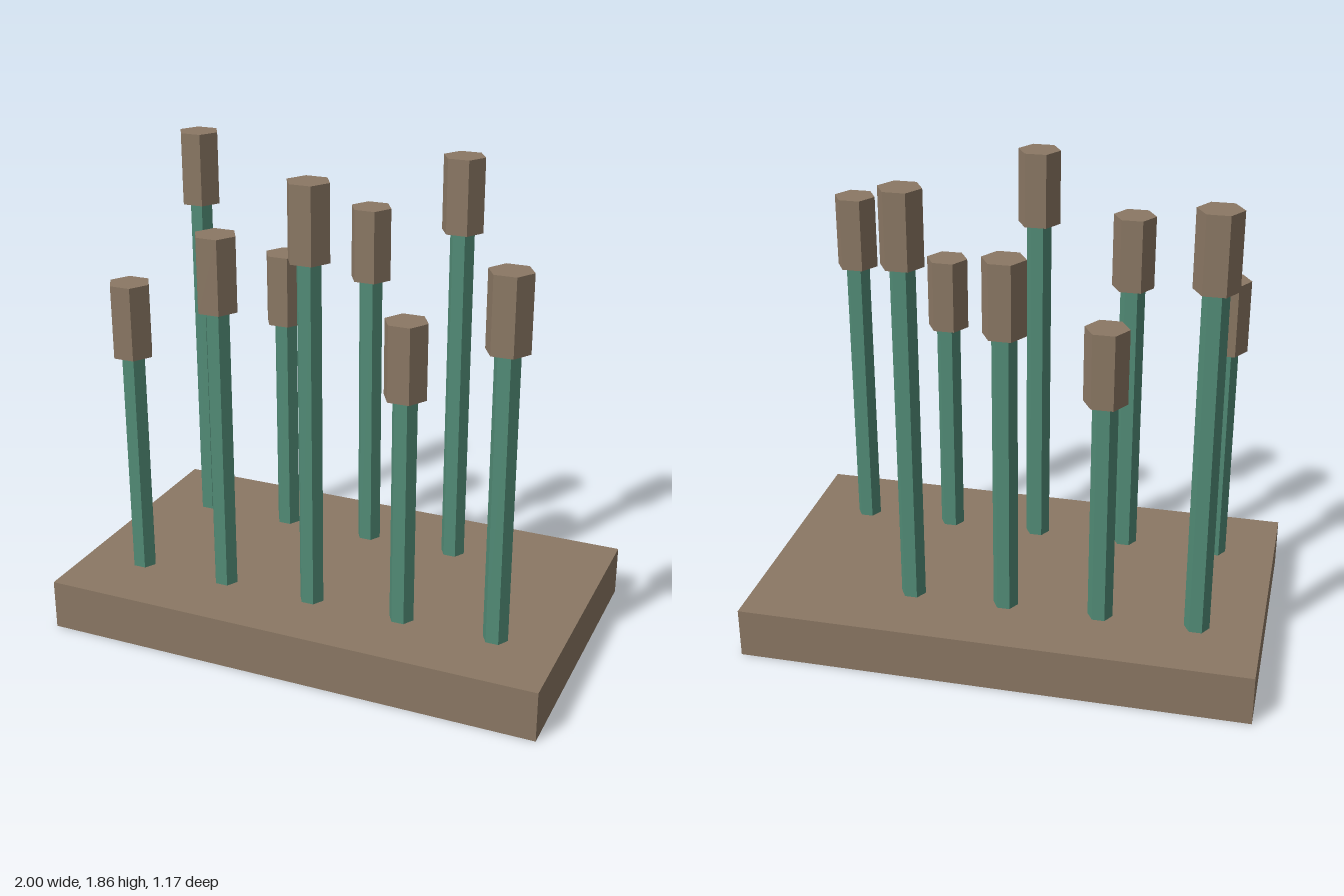
import * as THREE from 'three';

export function createModel() {
  const model = new THREE.Group();
  model.name = 'plantedReeds';

  const brown = new THREE.MeshStandardMaterial({ color: 0x8b7864, flatShading: true });
  brown.name = 'brown';
  const green = new THREE.MeshStandardMaterial({ color: 0x528c77, flatShading: true });
  green.name = 'green';

  const baseTop = 0.2, headHeight = 0.29, spacing = 0.375, rowZ = 0.293;

  // Hexagonal prism standing on y = bottom, with corners pointing along x
  function hexPrism(name, radius, bottom, height, material) {
    const geometry = new THREE.CylinderGeometry(radius, radius, height, 6);
    geometry.rotateY(Math.PI / 2);
    geometry.translate(0, bottom + height / 2, 0);
    const mesh = new THREE.Mesh(geometry, material);
    mesh.name = name;
    return mesh;
  }

  // Ground slab
  const base = new THREE.Mesh(new THREE.BoxGeometry(2, baseTop, 1.17), brown);
  base.name = 'base';
  base.position.y = baseTop / 2;
  model.add(base);

  // Nine reeds: five in front, four behind, heights cycling through three levels
  const stemTops = { low: 1.107, mid: 1.338, high: 1.572 };
  const rows = [
    { name: 'front', z: rowZ, levels: ['low', 'mid', 'high', 'low', 'mid'] },
    { name: 'back', z: -rowZ, levels: ['high', 'low', 'mid', 'high'] },
  ];
  for (const row of rows) {
    row.levels.forEach((level, i) => {
      const top = stemTops[level];
      const reed = new THREE.Group();
      reed.name = `${row.name}Reed${i + 1}`;
      reed.add(hexPrism('stem', 0.049, baseTop, top - baseTop, green));
      reed.add(hexPrism('head', 0.083, top, headHeight, brown));
      reed.position.set(-0.752 + i * spacing, 0, row.z);
      model.add(reed);
    });
  }
  return model;
}
